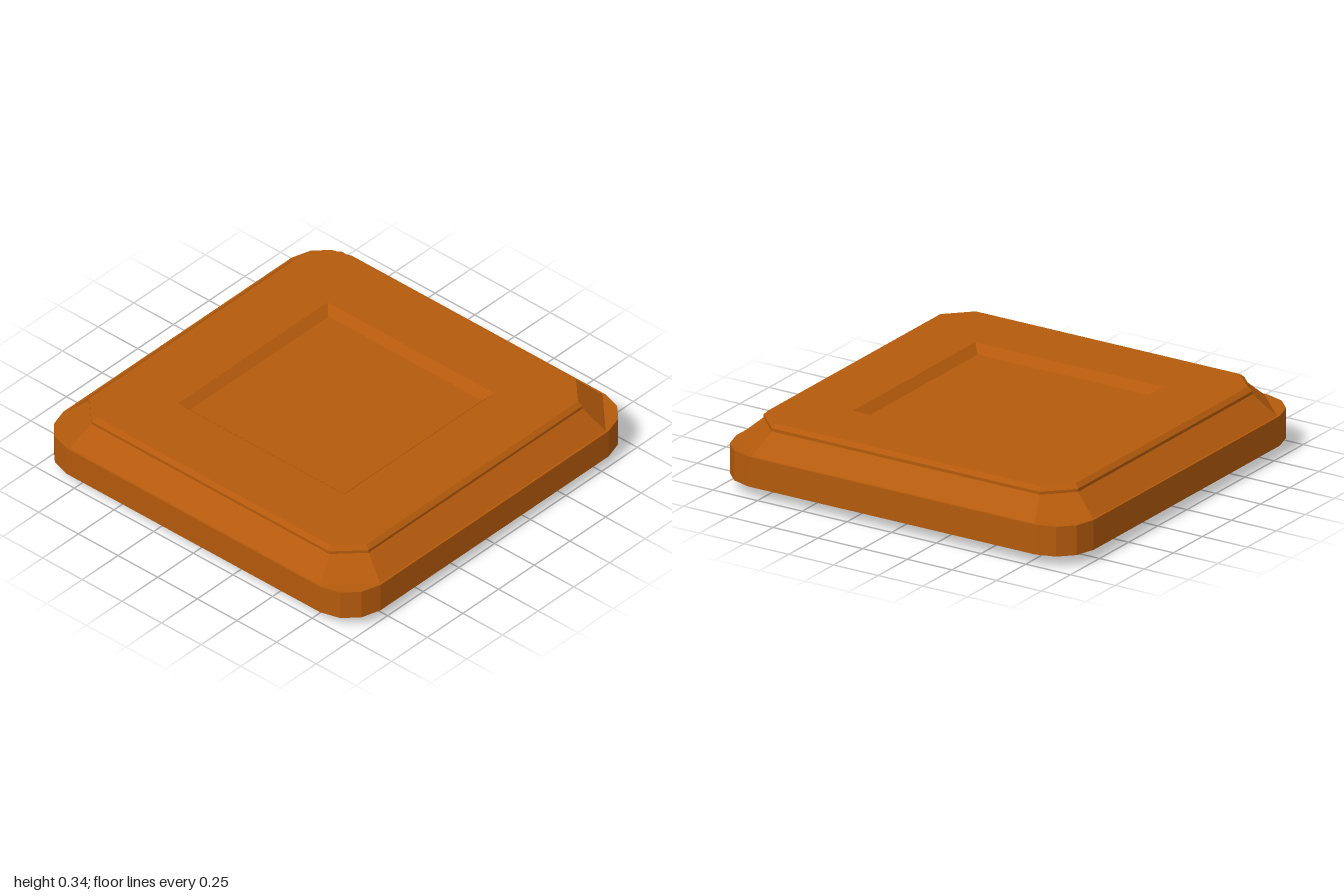
import * as THREE from 'three';

// Repeats one quadrant's [x, z] corner points around the four corners.
function ring(corner) {
  const points = [];
  for (let q = 0; q < 4; q++) {
    for (const [x, z] of corner) {
      points.push([[x, z], [-z, x], [-x, -z], [z, -x]][q]);
    }
  }
  return points;
}

const rounded = (s) => ring([[1, 0.8], [0.97, 0.9], [0.9, 0.97], [0.8, 1]].map(([x, z]) => [x * s, z * s]));
const chamfered = (half, flat) => ring([[half, flat], [flat, half]]);
const square = (half) => ring([[half, half]]);

// Joins a sequence of matching rings, each { y, points }, with flat faces.
function loft(levels) {
  const position = [];
  for (let k = 0; k < levels.length - 1; k++) {
    const a = levels[k], b = levels[k + 1], n = a.points.length;
    const put = (level, i) => position.push(level.points[i][0], level.y, level.points[i][1]);
    for (let i = 0; i < n; i++) {
      const j = (i + 1) % n;
      put(a, i); put(b, i); put(a, j);
      put(b, i); put(b, j); put(a, j);
    }
  }
  const geometry = new THREE.BufferGeometry();
  geometry.setAttribute('position', new THREE.Float32BufferAttribute(position, 3));
  geometry.computeVertexNormals();
  return geometry;
}

// Horizontal face with an optional opening.
function plate(y, outline, hole, down = false) {
  const toVectors = (points) => points.map(([x, z]) => new THREE.Vector2(x, z));
  const shape = new THREE.Shape(toVectors(outline));
  if (hole) shape.holes.push(new THREE.Path(toVectors(hole)));
  return new THREE.ShapeGeometry(shape).rotateX(down ? Math.PI / 2 : -Math.PI / 2).translate(0, y, 0);
}

export function createModel() {
  const model = new THREE.Group();
  model.name = 'pressurePlate';
  const copper = new THREE.MeshStandardMaterial({ color: 0xb45a0c });
  copper.name = 'copper';

  const add = (name, geometry) => {
    const mesh = new THREE.Mesh(geometry, copper);
    mesh.name = name;
    model.add(mesh);
  };

  const top = 0.345, floor = 0.305;
  const bevelFoot = chamfered(0.99, 0.79);

  // Rounded base with a tapered underside
  add('underside', plate(0, rounded(0.77), null, true));
  add('baseRim', loft([
    { y: 0, points: rounded(0.77) },
    { y: 0.06, points: rounded(1) },
    { y: 0.21, points: rounded(1) },
  ]));
  add('cornerLedges', plate(0.21, rounded(1), bevelFoot));

  // Sloping shoulder and narrow lip
  add('shoulder', loft([
    { y: 0.21, points: bevelFoot },
    { y: 0.31, points: chamfered(0.88, 0.75) },
  ]));
  add('lip', loft([
    { y: 0.31, points: chamfered(0.88, 0.75) },
    { y: 0.325, points: chamfered(0.88, 0.75) },
    { y: top, points: chamfered(0.86, 0.74) },
  ]));

  // Top face with a shallow square recess
  add('topFace', plate(top, chamfered(0.86, 0.74), square(0.525)));
  add('recessWalls', loft([
    { y: top, points: square(0.525) },
    { y: floor, points: square(0.485) },
  ]));
  add('recessFloor', plate(floor, square(0.485)));

  return model;
}
